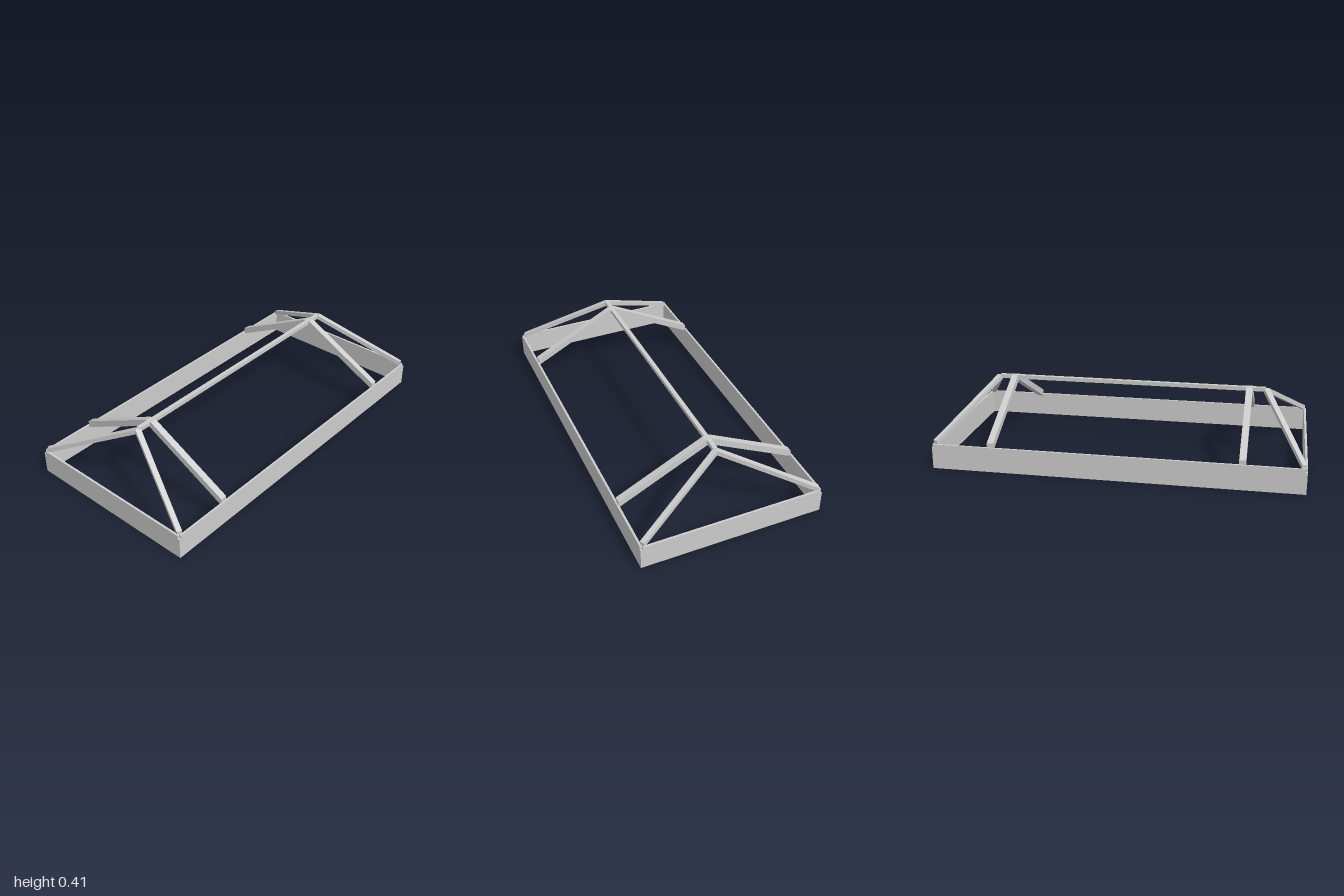
import * as THREE from 'three';

const material = new THREE.MeshStandardMaterial({ color: 0xcccccc, flatShading: true });

export function createModel() {
  const group = new THREE.Group();
  const add = (name, geometry, x = 0, y = 0, z = 0) => {
    const mesh = new THREE.Mesh(geometry, material);
    mesh.name = name;
    mesh.position.set(x, y, z);
    group.add(mesh);
    return mesh;
  };

  const X = 0.503, Z = 1, T = 0.012; // outer half width, half length, board thickness
  const wallH = 0.138, postH = 0.12, top = 0.405;

  // Base boards, with slightly lower posts in the corners
  for (const s of [-1, 1]) {
    add('sideBoard', new THREE.BoxGeometry(T, wallH, 2 * (Z - T)), s * (X - T / 2), wallH / 2, 0);
    add('endBoard', new THREE.BoxGeometry(2 * (X - T), wallH, T), 0, wallH / 2, s * (Z - T / 2));
    for (const t of [-1, 1])
      add('cornerPost', new THREE.BoxGeometry(T, postH, T), s * (X - T / 2), postH / 2, t * (Z - T / 2));
  }

  // Ridge beam
  add('ridgeBeam', new THREE.BoxGeometry(0.024, 0.022, 1.52), 0, top - 0.011, 0);

  // Paired common rafters, cut plumb at the eaves and flat at the ridge
  const rafter = new THREE.Shape([
    [-0.495, 0.122], [0, 0.375], [0.495, 0.122], [0.495, 0.162], [0.018, top], [-0.018, top], [-0.495, 0.162],
  ].map(([x, y]) => new THREE.Vector2(x, y)));
  for (const s of [-1, 1])
    add('rafterPair', new THREE.ExtrudeGeometry(rafter, { depth: 0.036, bevelEnabled: false }), 0, 0, s * 0.672 - 0.018);

  // Hip rafters from the corners to the ridge ends, with upright end cuts
  const w = 0.03, h = 0.027;
  for (const sx of [-1, 1]) for (const sz of [-1, 1]) {
    const eave = new THREE.Vector3(sx * 0.489, 0.157, sz * 0.985);
    const peak = new THREE.Vector3(0, top - 0.001, sz * 0.765);
    const across = new THREE.Vector3().subVectors(peak, eave).cross(new THREE.Vector3(0, 1, 0)).normalize();
    const geometry = new THREE.BoxGeometry(1, 1, 1);
    const p = geometry.attributes.position, v = new THREE.Vector3();
    for (let i = 0; i < p.count; i++) {
      const side = p.getX(i), drop = 0.5 - p.getY(i), along = 0.5 - p.getZ(i);
      v.lerpVectors(eave, peak, along).addScaledVector(across, side * w);
      v.y -= drop * h;
      // Trim the foot to the corner and the head to the centre plane
      if (along === 0) {
        v.x = THREE.MathUtils.clamp(v.x, -0.496, 0.496);
        v.z = THREE.MathUtils.clamp(v.z, -0.995, 0.995);
      } else {
        const slide = v.x / (peak.x - eave.x);
        v.addScaledVector(new THREE.Vector3().subVectors(peak, eave), -slide);
        v.y = Math.min(v.y, top);
      }
      p.setXYZ(i, v.x, v.y, v.z);
    }
    geometry.computeVertexNormals();
    add('hipRafter', geometry);
  }

  return group;
}
